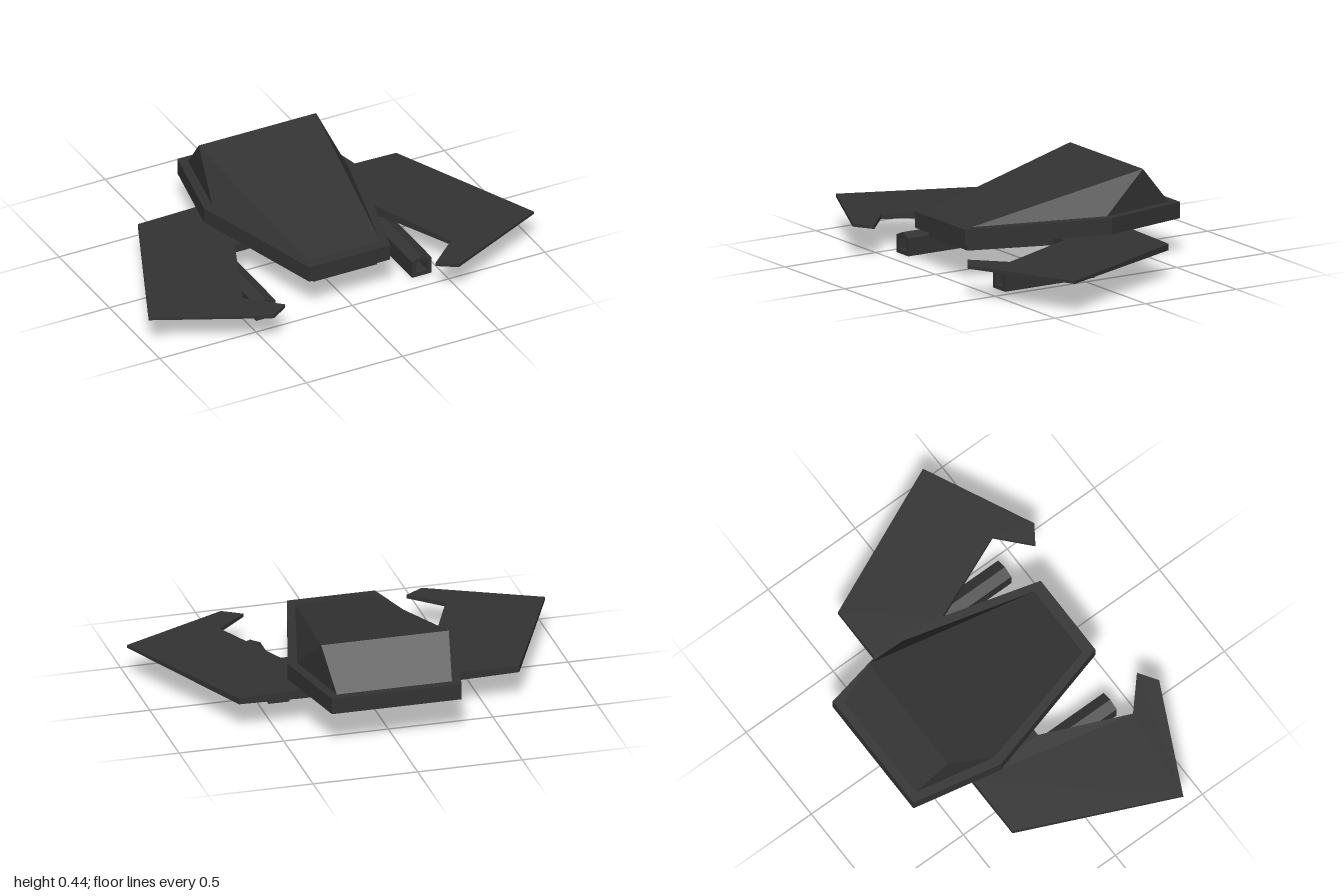
import * as THREE from 'three';
import { ConvexGeometry } from 'three/addons/geometries/ConvexGeometry.js';

const dark = new THREE.MeshStandardMaterial({ color: 0x333333, flatShading: true });

const part = (name, geometry) => {
  const mesh = new THREE.Mesh(geometry, dark);
  mesh.name = name;
  return mesh;
};

const toShape = (points) => new THREE.Shape(points.map(([a, b]) => new THREE.Vector2(a, b)));

// Closes a half outline of [x, z] points across the x = 0 plane
const mirrored = (half) => [...half, ...half.map(([x, z]) => [-x, z]).reverse()];

// Flat plate from a plan outline of [x, z] points, between two heights
function plate(outline, y0, y1) {
  const geo = new THREE.ExtrudeGeometry(toShape(outline.map(([x, z]) => [x, -z])), {
    depth: y1 - y0, bevelEnabled: false,
  });
  return geo.rotateX(-Math.PI / 2).translate(0, y0, 0);
}

// Thins a plate about its mid height; half(x, z) gives the half thickness
function thin(geo, mid, half) {
  const p = geo.attributes.position;
  for (let i = 0; i < p.count; i++) {
    const h = half(Math.abs(p.getX(i)), p.getZ(i));
    p.setY(i, mid + (p.getY(i) > mid ? h : -h));
  }
  geo.computeVertexNormals();
  return geo;
}

export function createModel() {
  const model = new THREE.Group();
  model.name = 'spacecraft';

  // Hull slab
  model.add(part('hull', plate(mirrored([[0.31, -0.645], [0.4, -0.21], [0.21, 0.475]]), 0.175, 0.252)));

  // Faceted canopy rising to a ridge near the back
  const base = mirrored([[0.275, -0.605], [0.355, -0.21], [0.185, 0.43]]);
  model.add(part('canopy', new ConvexGeometry([
    ...base.map(([x, z]) => new THREE.Vector3(x, 0.25, z)),
    new THREE.Vector3(0.305, 0.435, -0.443),
    new THREE.Vector3(-0.305, 0.435, -0.443),
  ])));

  // Centre plate joining the wings below the hull
  const centre = plate(
    mirrored([[0.365, -0.345], [0.365, 0.03], [0.277, 0.03], [0.165, 0.43]]), 0.132, 0.175);
  model.add(part('centrePlate', thin(centre, 0.1535, (x, z) => 0.0212 - Math.max(0, z - 0.03) * 0.012)));

  for (const side of [1, -1]) {
    const label = side > 0 ? 'left' : 'right';

    // Wing thinning towards its tip and forward hook
    const outline = [[0.365, -0.345], [0.67, -0.345], [1, 0.39], [0.48, 0.64],
      [0.39, 0.58], [0.54, 0.445], [0.365, 0.03]].map(([x, z]) => [side * x, z]);
    const wing = thin(plate(outline, 0.132, 0.175), 0.1535,
      (x, z) => 0.0212 - 0.017 * (x < 0.37 ? 0 : Math.hypot(x - 0.35, z + 0.16)));
    model.add(part(label + 'Wing', wing));

    // Gun: hollow barrel with a peaked top, hung from a square post
    const gun = new THREE.Group();
    gun.name = label + 'Gun';
    gun.position.x = side * 0.405;
    const section = toShape([[-0.05, 0], [0.05, 0], [0.05, 0.085], [0, 0.105], [-0.05, 0.085]]);
    section.holes.push(toShape([[-0.03, 0.02], [-0.03, 0.07], [0, 0.083], [0.03, 0.07], [0.03, 0.02]]));
    const barrel = part('barrel', new THREE.ExtrudeGeometry(section, { depth: 0.395, bevelEnabled: false }));
    barrel.position.z = 0.02;
    const post = part('post', new THREE.BoxGeometry(0.1, 0.14, 0.1));
    post.position.set(0, 0.07, -0.03);
    gun.add(barrel, post);
    model.add(gun);
  }
  return model;
}
